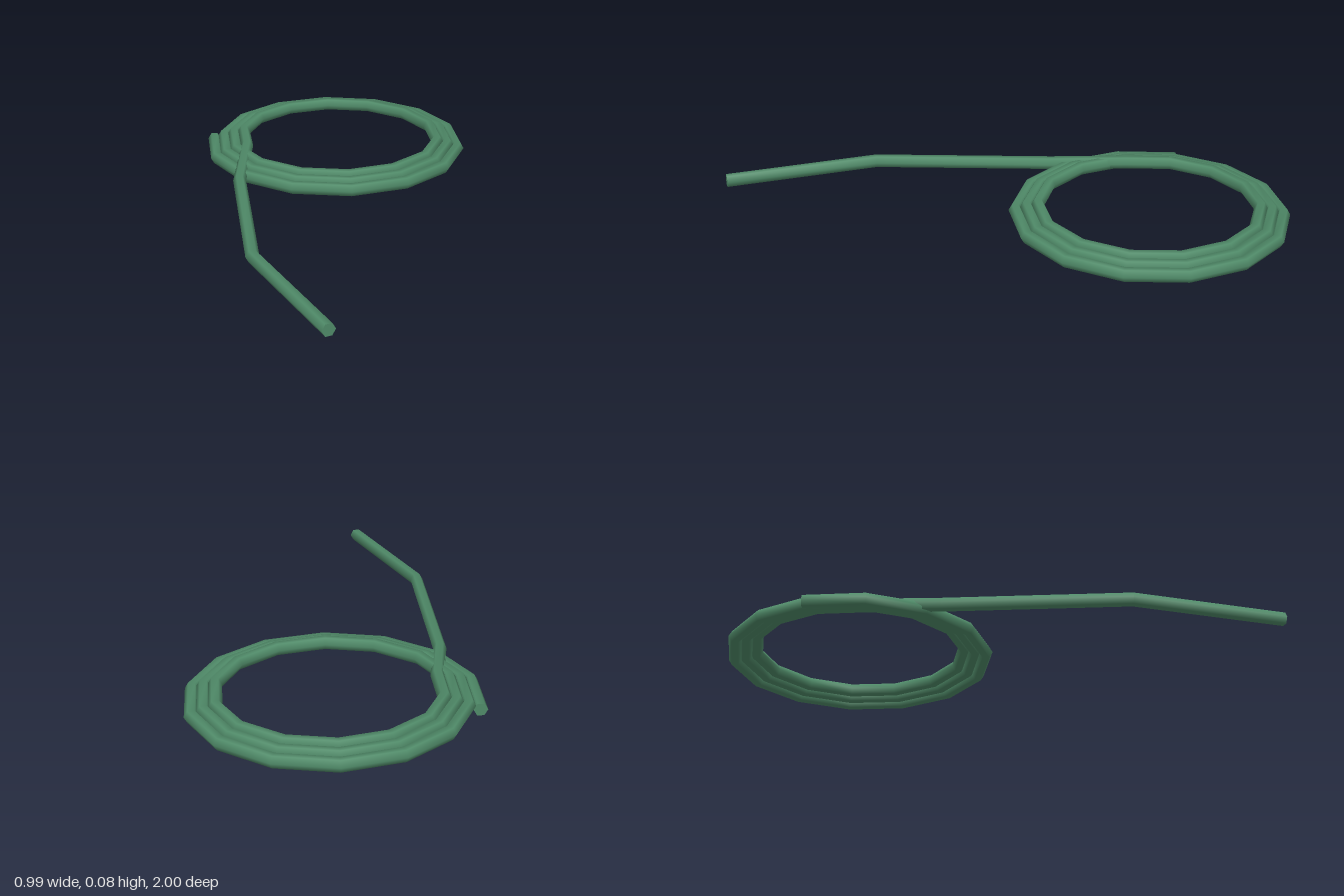
import * as THREE from 'three';

const SIDES = 6;
const RADIUS = 0.0235;
const PER_TURN = 14;

// Hexagonal cross-section of the hose at one point of the path
function section(points, i) {
  const before = points[Math.max(i - 1, 0)];
  const after = points[Math.min(i + 1, points.length - 1)];
  const here = points[i];
  const tangent = new THREE.Vector3();
  if (here !== before) tangent.add(here.clone().sub(before).normalize());
  if (after !== here) tangent.add(after.clone().sub(here).normalize());
  tangent.normalize();
  const side = new THREE.Vector3().crossVectors(tangent, new THREE.Vector3(0, 1, 0)).normalize();
  const up = new THREE.Vector3().crossVectors(side, tangent);
  return Array.from({ length: SIDES }, (_, j) => {
    const a = (j / SIDES) * Math.PI * 2;
    return here.clone()
      .addScaledVector(side, Math.cos(a) * RADIUS)
      .addScaledVector(up, Math.sin(a) * RADIUS);
  });
}

function buildGeometry(vertices, index) {
  const geometry = new THREE.BufferGeometry().setFromPoints(vertices);
  geometry.setIndex(index);
  geometry.computeVertexNormals();
  return geometry;
}

// Skin between neighbouring cross-sections
function skin(sections) {
  const index = [];
  for (let i = 0; i < sections.length - 1; i++) {
    for (let j = 0; j < SIDES; j++) {
      const a = i * SIDES + j;
      const b = i * SIDES + (j + 1) % SIDES;
      index.push(a, a + SIDES, b, b, a + SIDES, b + SIDES);
    }
  }
  return buildGeometry(sections.flat(), index);
}

// Flat cap closing one end
function cap(corners) {
  const index = [];
  for (let j = 1; j < SIDES - 1; j++) index.push(0, j, j + 1);
  return buildGeometry(corners, index);
}

export function createModel() {
  const group = new THREE.Group();
  group.name = 'coiledHose';
  const material = new THREE.MeshStandardMaterial({ color: 0x4f8a68 });

  // Three turns winding inward and slowly upward
  const path = [];
  for (let k = 0; k <= 3 * PER_TURN + 1; k++) {
    const turns = k / PER_TURN;
    const angle = turns * Math.PI * 2;
    const r = 0.4807 - 0.039 * turns;
    path.push(new THREE.Vector3(
      0.0047 - r * Math.cos(angle),
      0.023 + 0.0115 * turns,
      -0.534 + r * Math.sin(angle)
    ));
  }

  // Loose tail crossing over the coil and out to the front
  path.push(
    new THREE.Vector3(-0.3, 0.03, -0.1),
    new THREE.Vector3(-0.147, 0.028, 0.525),
    new THREE.Vector3(0.158, 0.026, 0.987)
  );

  const sections = path.map((_, i) => section(path, i));
  const parts = {
    hose: skin(sections),
    innerEndCap: cap([...sections[sections.length - 1]].reverse()),
    outerEndCap: cap(sections[0]),
  };
  for (const [name, geometry] of Object.entries(parts)) {
    const mesh = new THREE.Mesh(geometry, material);
    mesh.name = name;
    group.add(mesh);
  }
  return group;
}
